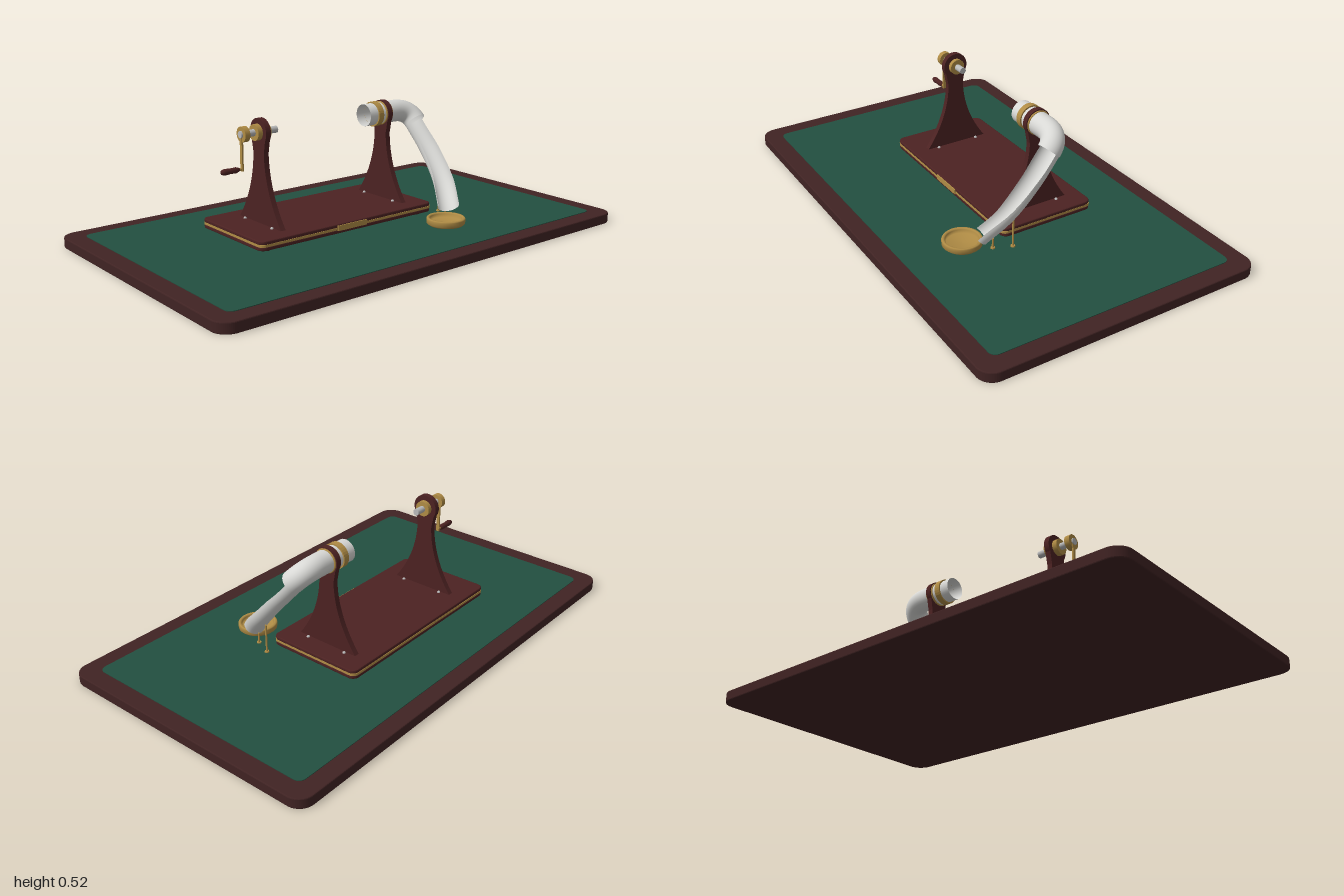
import * as THREE from 'three';

const mat = (name, color, side = THREE.FrontSide) => {
  const m = new THREE.MeshStandardMaterial({ color, side });
  m.name = name;
  return m;
};

export function createModel() {
  const frameWood = mat('dark frame wood', 0x402323);
  const wood = mat('red brown wood', 0x4c2222);
  const felt = mat('green felt', 0x225040);
  const brass = mat('brass', 0xb08c45);
  const steel = mat('steel', 0xb9b9b9);
  const glass = mat('pale pipe', 0xd8d8d5, THREE.DoubleSide);

  const root = new THREE.Group();
  const AX = 0.467, CZ = -0.083, CX = -0.0775; // axle height, base centre

  const add = (name, geometry, material, x = 0, y = 0, z = 0) => {
    const m = new THREE.Mesh(geometry, material);
    m.name = name;
    m.position.set(x, y, z);
    root.add(m);
    return m;
  };

  // Horizontal plate with rounded corners, standing on y = 0
  const slab = (w, d, h, r, b = 0) => {
    const s = new THREE.Shape(), X = w / 2 - b, Y = d / 2 - b;
    s.moveTo(-X + r, -Y);
    s.lineTo(X - r, -Y).absarc(X - r, -Y + r, r, -Math.PI / 2, 0);
    s.lineTo(X, Y - r).absarc(X - r, Y - r, r, 0, Math.PI / 2);
    s.lineTo(-X + r, Y).absarc(-X + r, Y - r, r, Math.PI / 2, Math.PI);
    s.lineTo(-X, -Y + r).absarc(-X + r, -Y + r, r, Math.PI, Math.PI * 1.5);
    const g = new THREE.ExtrudeGeometry(s, {
      depth: h - 2 * b, curveSegments: 8, bevelEnabled: b > 0,
      bevelSize: b, bevelThickness: b, bevelSegments: 2,
    });
    return g.translate(0, 0, b).rotateX(-Math.PI / 2);
  };

  // Cylinder lying along x
  const xCyl = (name, x0, x1, r, material, y = AX, z = CZ) =>
    add(name, new THREE.CylinderGeometry(r, r, x1 - x0, 32).rotateZ(Math.PI / 2), material, (x0 + x1) / 2, y, z);

  // Table board and felt
  add('board', slab(2, 1.206, 0.043, 0.06, 0.004), frameWood);
  add('feltSurface', slab(1.85, 1.06, 0.004, 0.03), felt, 0, 0.0415, 0);

  // Layered base
  add('baseLower', slab(0.885, 0.424, 0.016, 0.025, 0.004), wood, CX, 0.057, CZ);
  add('baseInlay', slab(0.884, 0.425, 0.01, 0.025), brass, CX, 0.072, CZ);
  add('baseUpper', slab(0.885, 0.424, 0.015, 0.025, 0.004), wood, CX, 0.081, CZ);
  add('namePlate', new THREE.BoxGeometry(0.15, 0.022, 0.005), brass, CX, 0.08, 0.131);
  for (const sx of [-1, 1]) for (const sz of [-1, 1])
    add('foot', new THREE.CylinderGeometry(0.021, 0.018, 0.015, 20), frameWood, CX + sx * 0.39, 0.051, CZ + sz * 0.165);

  // Flared uprights with round heads
  const upright = (name, x, hole) => {
    const s = new THREE.Shape();
    s.moveTo(-0.143, 0);
    s.lineTo(0.143, 0);
    s.bezierCurveTo(0.075, 0.09, 0.037, 0.19, 0.036, 0.29);
    s.lineTo(0.046, 0.342);
    s.absarc(0, 0.372, 0.055, -0.577, Math.PI + 0.577, false);
    s.lineTo(-0.036, 0.29);
    s.bezierCurveTo(-0.037, 0.19, -0.075, 0.09, -0.143, 0);
    if (hole) s.holes.push(new THREE.Path().absarc(0, 0.372, 0.046, 0, Math.PI * 2, true));
    const g = new THREE.ExtrudeGeometry(s, { depth: 0.023, bevelEnabled: false, curveSegments: 24 });
    add(name, g.translate(0, 0, -0.0115).rotateY(Math.PI / 2), wood, x, 0.095, CZ);
    for (const sx of [-1, 1]) for (const sz of [-1, 1])
      add('screw', new THREE.SphereGeometry(0.007, 12, 8), steel, x + sx * 0.02, 0.096, CZ + sz * 0.094);
  };
  upright('crankUpright', -0.368, false);
  upright('pipeUpright', 0.264, true);

  // Crank
  xCyl('axle', -0.465, -0.293, 0.014, steel);
  xCyl('axleBushing', -0.4, -0.338, 0.033, brass);
  xCyl('crankHub', -0.459, -0.436, 0.031, brass);
  add('crankArm', new THREE.BoxGeometry(0.007, 0.145, 0.014), brass, -0.458, 0.394, CZ);
  xCyl('handlePin', -0.49, -0.455, 0.006, brass, 0.33);
  const grip = [[0, -0.04], [0.007, -0.04], [0.012, -0.025], [0.011, 0], [0.013, 0.025], [0.009, 0.04], [0, 0.04]];
  add('crankGrip', new THREE.LatheGeometry(grip.map(p => new THREE.Vector2(...p)), 20).rotateZ(Math.PI / 2),
    wood, -0.512, 0.33, CZ);

  // Pipe with elbow
  const V = (x, y, z) => new THREE.Vector3(x, y, z);
  const path = new THREE.CurvePath();
  path.add(new THREE.LineCurve3(V(0.16, AX, CZ), V(0.325, AX, CZ)));
  path.add(new THREE.QuadraticBezierCurve3(V(0.325, AX, CZ), V(0.408, AX, CZ), V(0.414, 0.418, -0.038)));
  add('pipe', new THREE.TubeGeometry(path, 48, 0.047, 32), glass);
  xCyl('pipeCollar', 0.203, 0.229, 0.053, brass);
  const ring = new THREE.TorusGeometry(0.047, 0.0045, 8, 32).rotateY(Math.PI / 2);
  for (const x of [0.25, 0.278]) add('pipeRing', ring, brass, x, AX, CZ);
  // Bore lining keeps the collar open inside
  const collar = root.getObjectByName('pipeCollar');
  collar.geometry = new THREE.LatheGeometry(
    [[0.0465, -0.013], [0.053, -0.013], [0.053, 0.013], [0.0465, 0.013]].map(p => new THREE.Vector2(...p)), 32)
    .toNonIndexed().rotateZ(Math.PI / 2);
  collar.geometry.computeVertexNormals();

  // Open half-round chute running down to the dish
  const chute = new THREE.CatmullRomCurve3([
    V(0.412, 0.425, -0.045), V(0.42, 0.32, 0.047), V(0.405, 0.205, 0.148), V(0.357, 0.105, 0.238)]);
  const N = 32, M = 20, pos = [], idx = [];
  for (let i = 0; i <= N; i++) {
    const c = chute.getPointAt(i / N), t = chute.getTangentAt(i / N);
    const side = new THREE.Vector3().crossVectors(t, V(0, 1, 0)).normalize();
    const up = new THREE.Vector3().crossVectors(side, t);
    for (let j = 0; j <= M; j++) {
      const a = -0.12 + (Math.PI + 0.24) * j / M;
      const p = c.clone().addScaledVector(side, 0.045 * Math.cos(a)).addScaledVector(up, -0.045 * Math.sin(a));
      pos.push(p.x, p.y, p.z);
      if (i < N && j < M) {
        const k = i * (M + 1) + j;
        idx.push(k, k + 1, k + M + 1, k + 1, k + M + 2, k + M + 1);
      }
    }
  }
  const cg = new THREE.BufferGeometry();
  cg.setAttribute('position', new THREE.Float32BufferAttribute(pos, 3));
  cg.setIndex(idx);
  cg.computeVertexNormals();
  add('chute', cg, glass);

  // Chute support pins
  for (const [x, top, z] of [[0.415, 0.17, 0.117], [0.385, 0.09, 0.19]]) {
    add('supportPin', new THREE.CylinderGeometry(0.004, 0.004, top - 0.044, 12), brass, x, (top + 0.044) / 2, z);
    add('pinFoot', new THREE.CylinderGeometry(0.009, 0.01, 0.006, 16), brass, x, 0.047, z);
  }

  // Catch dish
  const dish = [[0, 0.001], [0.072, 0.001], [0.08, 0.008], [0.081, 0.026], [0.078, 0.031], [0.07, 0.031],
    [0.066, 0.026], [0.064, 0.012], [0, 0.01]];
  const dg = new THREE.LatheGeometry(dish.map(p => new THREE.Vector2(...p)), 40);
  add('catchDish', dg, brass, 0.302, 0.0445, 0.278);

  return root;
}
